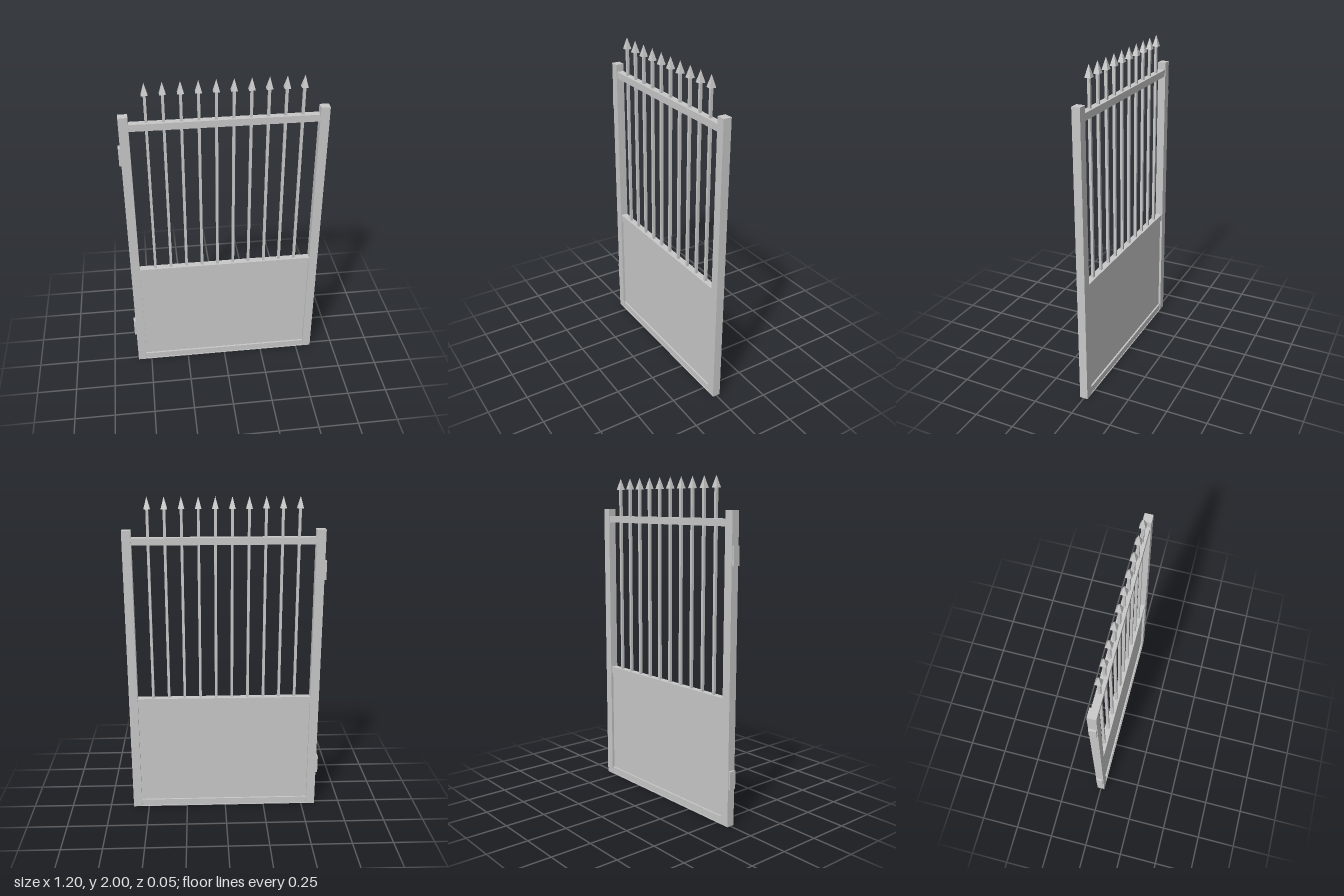
import * as THREE from 'three';

export function createModel() {
  const gate = new THREE.Group();
  gate.name = 'gate';
  const metal = new THREE.MeshStandardMaterial({ color: 0xc8c8c8 });
  metal.name = 'light grey metal';

  // Box given by its extents in x and y, and its depth centred on z = 0
  function box(name, x0, x1, y0, y1, depth) {
    const mesh = new THREE.Mesh(new THREE.BoxGeometry(x1 - x0, y1 - y0, depth), metal);
    mesh.position.set((x0 + x1) / 2, (y0 + y1) / 2, 0);
    mesh.name = name;
    gate.add(mesh);
  }

  // Frame
  box('bottomPlate', -0.588, 0.6, 0, 0.005, 0.05);
  box('rightPost', -0.588, -0.533, 0.005, 1.81, 0.05);
  box('leftPost', 0.546, 0.6, 0.005, 1.81, 0.05);
  box('bottomRail', -0.533, 0.546, 0.005, 0.046, 0.042);
  box('middleRail', -0.533, 0.546, 0.717, 0.76, 0.042);
  box('topRail', -0.533, 0.546, 1.723, 1.765, 0.042);

  // Recessed lower panel
  box('panel', -0.533, 0.546, 0.046, 0.717, 0.02);

  // Hinge plates on the outside of the right post
  for (const y of [0.228, 1.511]) box('hinge', -0.6, -0.588, y, y + 0.111, 0.043);

  // Pickets with pyramid spear heads
  const headGeometry = new THREE.ConeGeometry(0.0185 * Math.SQRT2, 0.07, 4, 1).toNonIndexed();
  headGeometry.rotateY(Math.PI / 4);
  headGeometry.computeVertexNormals();
  for (let i = 0; i < 10; i++) {
    const x = -0.434 + i * 0.0981;
    box('picketLower', x - 0.008, x + 0.008, 0.76, 1.723, 0.016);
    box('picketUpper', x - 0.008, x + 0.008, 1.765, 1.932, 0.016);
    const head = new THREE.Mesh(headGeometry, metal);
    head.position.set(x, 1.965, 0);
    head.name = 'spearHead';
    gate.add(head);
  }
  return gate;
}
